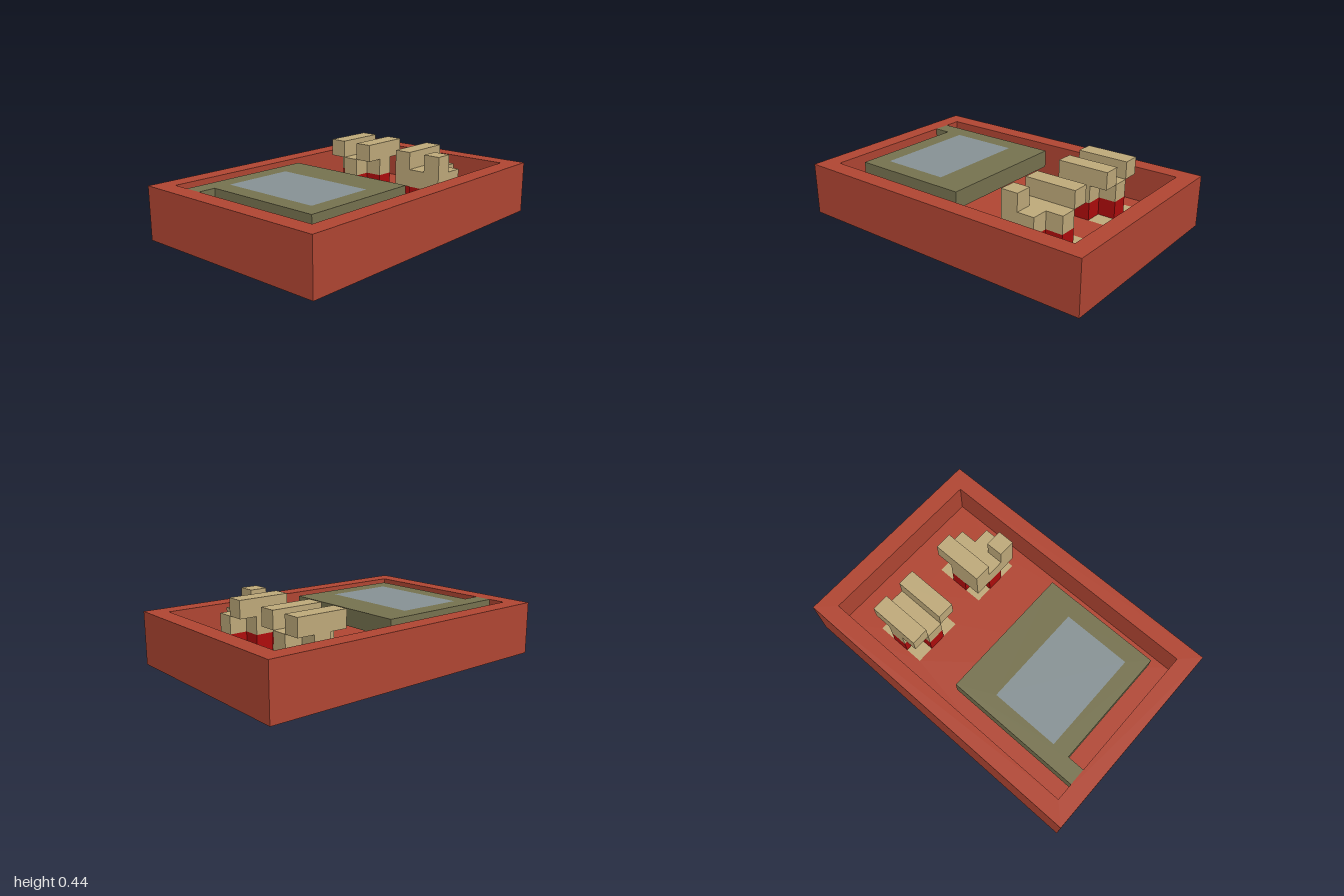
import * as THREE from 'three';

// One grid cell is a ninth of a unit; everything is laid out in cells.
const CELL = 1 / 9;
const paint = (color) => new THREE.MeshStandardMaterial({ color, flatShading: true });
const brick = paint(0xb24633);
const stone = paint(0xc0ab7b);
const moss = paint(0x777350);
const slate = paint(0x889396);
const crimson = paint(0xb00c0c);

const rect = (x0, z0, x1, z1) => [[x0, z0], [x1, z0], [x1, z1], [x0, z1]];
// Counter-clockwise order, so that outer walls face out and hole walls face in
const toPoints = (outline) => outline.map(([x, z]) => new THREE.Vector2(x, -z)).reverse();

// Upright prism from an [x, z] outline, with optional holes.
function slab(name, material, outline, y0, y1, holes = []) {
  const shape = new THREE.Shape(toPoints(outline));
  holes.forEach((h) => shape.holes.push(new THREE.Path(toPoints(h))));
  const geometry = new THREE.ExtrudeGeometry(shape, { depth: y1 - y0, bevelEnabled: false });
  geometry.rotateX(-Math.PI / 2).translate(0, y0, 0);
  const mesh = new THREE.Mesh(geometry, material);
  mesh.name = name;
  return mesh;
}

function named(name, ...parts) {
  const group = new THREE.Group();
  group.name = name;
  group.add(...parts);
  return group;
}

export function createModel() {
  // Square footing, and one with its front left corner missing
  const backBase = rect(3, -4, 6, -1);
  const frontBase = [[3, 1], [6, 1], [6, 3], [5, 3], [5, 4], [3, 4]];

  // Cross outline centred on z = c
  const cross = (c) => [
    [4, c - 1.5], [5, c - 1.5], [5, c - 0.5], [6, c - 0.5], [6, c + 0.5], [5, c + 0.5],
    [5, c + 1.5], [4, c + 1.5], [4, c + 0.5], [3, c + 0.5], [3, c - 0.5], [4, c - 0.5],
  ];
  // Body of the front block: solid right side, arm on the left
  const frontBody = [[3, 1], [5, 1], [5, 2], [6, 2], [6, 3], [5, 3], [5, 4], [3, 4]];

  // Open tray
  const tray = named('tray',
    slab('trayFloor', brick, rect(-9, -6, 9, 6), 0, 1, [backBase, frontBase]),
    slab('trayWalls', brick, rect(-9, -6, 9, 6), 1, 3, [rect(-8, -5, 8, 5)]));

  // Raised panel, held to the tray wall by a small tab
  const windowOutline = rect(-6, -3, -2, 3);
  const panel = named('panel',
    slab('panelFrame', moss, [[-8, -4], [0, -4], [0, 4], [-7, 4], [-7, -3], [-8, -3]],
      2, 3, [windowOutline]),
    slab('panelInset', slate, windowOutline, 2, 3));

  // Back block: footing, crimson cross, stone cross and two bars
  const backBlock = named('backBlock',
    slab('footing', stone, backBase, 0, 1),
    slab('core', crimson, cross(-2.5), 1, 2),
    slab('body', stone, cross(-2.5), 2, 3),
    slab('rearBar', stone, rect(3, -4, 6, -3), 3, 4),
    slab('foreBar', stone, rect(3, -2, 6, -1), 3, 4));

  // Front block: the same build, broken at one corner
  const frontBlock = named('frontBlock',
    slab('footing', stone, frontBase, 0, 1),
    slab('core', crimson, cross(2.5), 1, 2),
    slab('body', stone, frontBody, 2, 3),
    slab('rearBar', stone, rect(3, 1, 6, 2), 3, 4),
    slab('brokenBar', stone, rect(3, 3, 4, 4), 3, 4));

  const model = named('model', tray, panel, backBlock, frontBlock);
  model.scale.setScalar(CELL);
  return named('trayWithBlocks', model);
}
